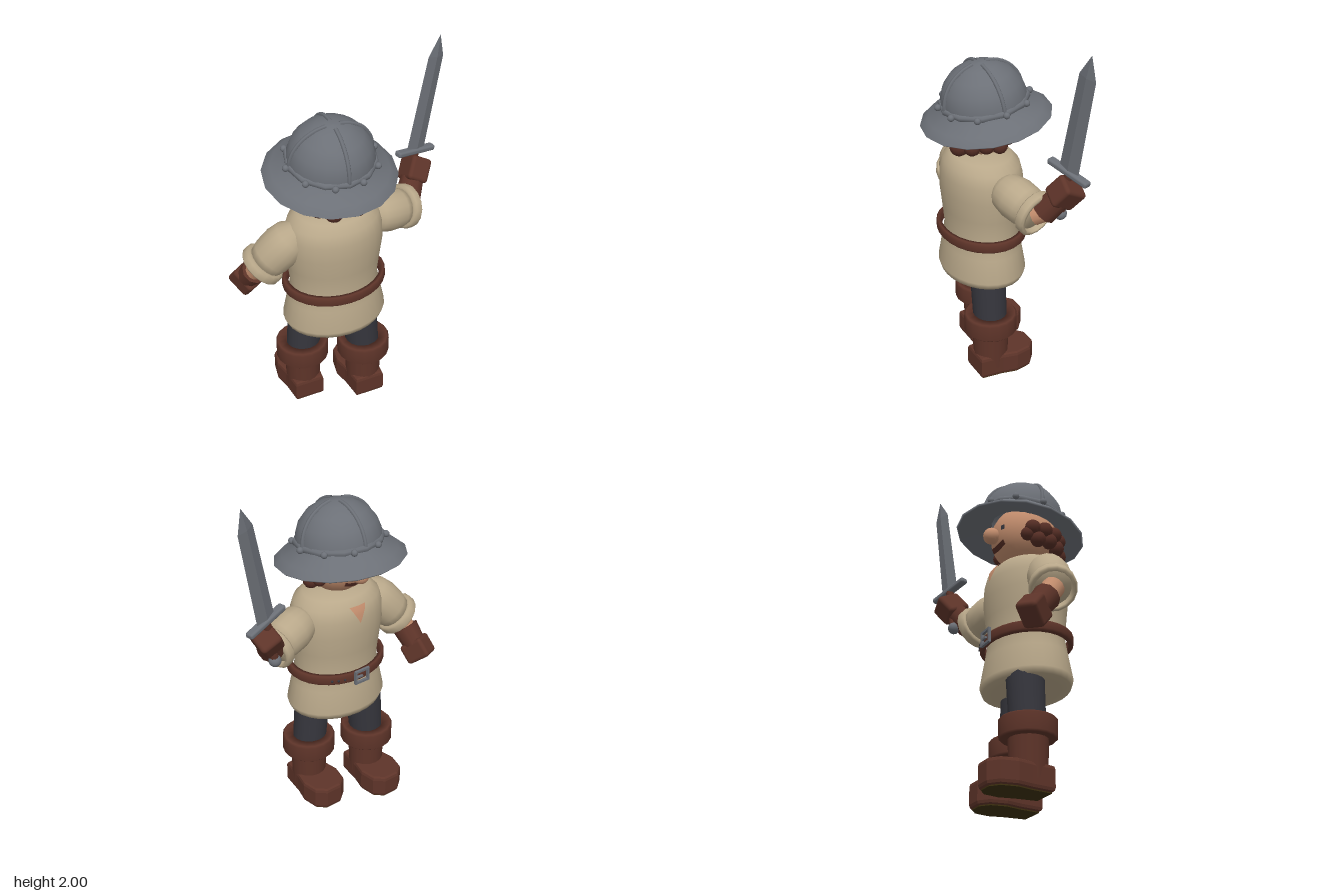
import * as THREE from 'three';
import { RoundedBoxGeometry } from 'three/addons/geometries/RoundedBoxGeometry.js';

const V = (x, y, z) => new THREE.Vector3(x, y, z);
const material = (name, color, side = THREE.FrontSide) => {
  const m = new THREE.MeshStandardMaterial({ color, side });
  m.name = name;
  return m;
};

export function createModel() {
  const cloth = material('tunic cloth', 0xb9a88a);
  const leather = material('brown leather', 0x5e3429);
  const steel = material('steel', 0x6c7077, THREE.DoubleSide);
  const trousers = material('dark trousers', 0x36363d);
  const skin = material('skin', 0xc48e6e);
  const sole = material('boot sole', 0x3d3010);
  const hairBrown = material('hair', 0x562e25);

  const model = new THREE.Group();
  model.name = 'soldier';
  const CX = -0.107; // body centre line

  const add = (name, geo, mat, parent = model) => {
    const m = new THREE.Mesh(geo, mat);
    m.name = name;
    parent.add(m);
    return m;
  };
  const group = (name, parent = model) => {
    const g = new THREE.Group();
    g.name = name;
    parent.add(g);
    return g;
  };
  const lathe = (pts, seg = 24) => new THREE.LatheGeometry(pts.map(p => new THREE.Vector2(...p)), seg);
  // closed band with a slightly bevelled outside
  const ring = (inner, outer, h, seg = 24) => lathe([
    [inner, -h / 2], [outer - 0.01, -h / 2], [outer, -h / 2 + 0.01],
    [outer, h / 2 - 0.01], [outer - 0.01, h / 2], [inner, h / 2], [inner, -h / 2]], seg);
  // stand an object at a with its y axis pointing to b
  const aim = (obj, a, b) => {
    obj.position.copy(a);
    obj.quaternion.setFromUnitVectors(V(0, 1, 0), b.clone().sub(a).normalize());
    return obj;
  };
  // thin patch facing -z, laid on a surface given by z = depth(x, y)
  const patch = (w, h, shape, depth) => {
    const geo = new THREE.PlaneGeometry(1, 1, 8, 4), p = geo.attributes.position;
    for (let i = 0; i < p.count; i++) {
      const [x, y] = shape(-p.getX(i) * w, p.getY(i) * h);
      p.setXYZ(i, x, y, depth(x, y));
    }
    geo.computeVertexNormals();
    return geo;
  };

  // tunic
  const BZ = 0.035, FLAT = 0.79;
  const profile = [[0, 0.58], [0.2, 0.58], [0.268, 0.585], [0.282, 0.62], [0.255, 0.75], [0.236, 0.85],
    [0.25, 0.97], [0.264, 1.08], [0.26, 1.17], [0.24, 1.235], [0.19, 1.275], [0.1, 1.294], [0, 1.295]];
  const tunic = add('tunic', lathe(profile, 28), cloth);
  tunic.position.set(CX, 0, BZ);
  tunic.scale.z = FLAT;
  const tunicRadius = y => {
    const i = profile.findIndex(q => q[1] > y), a = profile[i - 1], b = profile[i];
    return a[0] + (b[0] - a[0]) * (y - a[1]) / (b[1] - a[1]);
  };
  const tunicFront = (x, y) =>
    BZ - 0.006 - FLAT * Math.sqrt(Math.max(0, tunicRadius(y) ** 2 - (x - CX) ** 2));
  add('collarOpening', patch(0.1, 0.09,
    (x, y) => [CX + x * (y / 0.09 + 0.5), 1.2 + y], tunicFront), skin);

  // belt, punched holes and buckle
  const belt = add('belt', ring(0.25, 0.28, 0.055, 28), leather);
  belt.position.set(CX, 0.838, 0.037);
  belt.scale.z = 0.815;
  for (let i = 0; i < 3; i++) {
    const a = 0.35 + i * 0.13;
    const hole = add('beltHole', new THREE.SphereGeometry(0.007, 8, 6), trousers);
    hole.position.set(CX + 0.28 * Math.sin(a), 0.838, 0.037 - 0.228 * Math.cos(a));
  }
  const buckle = group('buckle');
  buckle.position.set(CX, 0.838, -0.196);
  for (const s of [-1, 1]) {
    add('buckleBar', new THREE.BoxGeometry(0.09, 0.012, 0.014), steel, buckle).position.y = s * 0.034;
    add('buckleSide', new THREE.BoxGeometry(0.012, 0.08, 0.014), steel, buckle).position.x = s * 0.04;
  }
  add('bucklePin', new THREE.BoxGeometry(0.045, 0.01, 0.012), steel, buckle).position.x = 0.018;

  // legs and boots, one a step ahead of the other
  const footprint = new THREE.Shape([[-0.07, -0.085], [0.07, -0.085], [0.082, 0.03], [0.1, 0.11],
    [0.085, 0.19], [0.04, 0.228], [-0.04, 0.228], [-0.085, 0.19], [-0.1, 0.11], [-0.082, 0.03]]
    .map(p => new THREE.Vector2(...p)));
  for (const [x, z, hip] of [[-0.268, -0.043, 0.03], [0.053, 0.067, -0.03]]) {
    const leg = group('leg');
    leg.position.set(x, 0, z);
    aim(add('trouserLeg', new THREE.CylinderGeometry(0.098, 0.09, 0.36, 18).translate(0, 0.18, 0), trousers, leg),
      V(0, 0.27, 0), V(hip, 0.63, 0));
    add('bootShaft', new THREE.CylinderGeometry(0.1, 0.094, 0.24, 16), leather, leg).position.y = 0.18;
    add('bootCuff', ring(0.09, 0.145, 0.105, 18), leather, leg).position.y = 0.322;
    const foot = add('bootFoot', new THREE.ExtrudeGeometry(footprint, {
      depth: 0.09, bevelSize: 0.014, bevelThickness: 0.02, bevelSegments: 2 }), leather, leg);
    foot.rotation.x = -Math.PI / 2;
    foot.position.y = 0.026;
    const plate = add('bootSole', new THREE.ExtrudeGeometry(footprint, { depth: 0.007, bevelEnabled: false }), sole, leg);
    plate.rotation.x = -Math.PI / 2;
  }

  // head and face
  const HEAD = V(CX, 1.455, 0.03), HR = 0.18;
  add('head', new THREE.SphereGeometry(HR, 24, 16), skin).position.copy(HEAD);
  add('nose', new THREE.SphereGeometry(0.045, 16, 12), skin).position.set(CX, 1.43, -0.167);
  const faceFront = (x, y) =>
    HEAD.z - Math.sqrt(Math.max(0, (HR + 0.006) ** 2 - (x - CX) ** 2 - (y - HEAD.y) ** 2));
  add('mouth', patch(0.13, 0.026, (x, y) => [CX + x, 1.365 + y + x * x * 3], faceFront), hairBrown);
  for (const s of [-1, 1])
    add('eye', patch(0.022, 0.026, (x, y) => [CX + s * 0.075 + x, 1.455 + y], faceFront), trousers);

  // curls round the back and sides of the head
  const hair = group('hair');
  const curl = (deg, y, r, dist) => {
    const a = deg * Math.PI / 180;
    add('curl', new THREE.SphereGeometry(r, 12, 8), hairBrown, hair)
      .position.set(CX + dist * Math.sin(a), y, HEAD.z + dist * Math.cos(a));
  };
  for (const s of [-1, 1]) {
    for (const [d, y, r] of [[21, 1.365, 0.051], [46, 1.375, 0.045], [70, 1.385, 0.043], [94, 1.375, 0.042], [113, 1.4, 0.036]])
      curl(s * d, y, r, 0.172);
    for (const d of [10, 34, 58, 82, 104]) curl(s * d, 1.435, 0.043, 0.178);
  }

  // helmet, tipped back
  const helmet = group('helmet');
  helmet.position.set(CX, 1.475, 0.003);
  helmet.rotation.x = 0.136;
  add('brim', lathe([[0.16, 0.05], [0.25, 0.03], [0.335, -0.012], [0.343, -0.004], [0.3, 0.03], [0.245, 0.062], [0.215, 0.1]], 16), steel, helmet);
  const domeArc = [[0.222, 0.08], [0.22, 0.125], [0.2, 0.185], [0.155, 0.242], [0.09, 0.281], [0.035, 0.294]];
  add('dome', lathe([...domeArc, [0, 0.296]], 24), steel, helmet);
  add('band', ring(0.2, 0.236, 0.035, 12), steel, helmet).position.y = 0.092;
  for (let i = 0; i < 4; i++) {
    const path = new THREE.CatmullRomCurve3(domeArc.map(([r, y]) => V(r, y, 0)));
    add('rib', new THREE.TubeGeometry(path, 12, 0.011, 6), steel, helmet).rotation.y = i * Math.PI / 2;
  }
  for (let i = 0; i < 10; i++) {
    const a = i * Math.PI / 5;
    add('rivet', new THREE.SphereGeometry(0.018, 10, 8), steel, helmet)
      .position.set(0.238 * Math.cos(a), 0.092, 0.238 * Math.sin(a));
  }

  // arms: sleeve, open cuff, forearm and glove
  const buildArm = (name, shoulder, cuffAt, wrist, fist) => {
    const arm = group(name);
    const L = shoulder.distanceTo(cuffAt);
    aim(add('sleeve', lathe([[0, -0.1], [0.06, -0.085], [0.1, -0.03], [0.112, 0.04], [0.108, L * 0.65], [0.092, L], [0, L]], 18), cloth, arm),
      shoulder, cuffAt);
    aim(add('sleeveCuff', ring(0.097, 0.121, 0.055, 16), cloth, arm), cuffAt, cuffAt.clone().multiplyScalar(2).sub(shoulder));
    const F = cuffAt.distanceTo(wrist) + 0.03;
    aim(add('forearm', new THREE.CylinderGeometry(0.05, 0.06, F, 14).translate(0, F / 2, 0), skin, arm), cuffAt, wrist);
    const glove = aim(group('glove', arm), wrist, fist);
    const G = wrist.distanceTo(fist);
    add('gloveCuff', new THREE.CylinderGeometry(0.062, 0.071, G * 0.55, 10), leather, glove).position.y = G * 0.27;
    add('gloveFist', new RoundedBoxGeometry(0.12, G * 0.58, 0.14, 2, 0.02), leather, glove).position.y = G * 0.71;
  };
  buildArm('loweredArm', V(-0.355, 1.14, 0.03), V(-0.48, 0.995, -0.015), V(-0.507, 0.925, -0.065), V(-0.54, 0.775, -0.185));
  buildArm('swordArm', V(0.165, 1.145, 0.01), V(0.335, 1.105, -0.035), V(0.37, 1.125, -0.065), V(0.475, 1.295, -0.17));

  // sword, built upright then turned to its blade and guard axes
  const sword = group('sword');
  const guardAt = V(0.45, 1.357, -0.15);
  const up = V(0.577, 1.995, -0.17).sub(guardAt), length = up.length();
  up.normalize();
  const across = V(0.25, -0.045, -0.07).addScaledVector(up, -V(0.25, -0.045, -0.07).dot(up)).normalize();
  sword.position.copy(guardAt);
  sword.quaternion.setFromRotationMatrix(new THREE.Matrix4().makeBasis(across, up, across.clone().cross(up)));
  const blade = (r0, r1, y0, y1) => new THREE.CylinderGeometry(r1, r0, y1 - y0, 4, 1).toNonIndexed()
    .translate(0, (y0 + y1) / 2, 0).scale(1, 1, 0.22);
  for (const [name, geo] of [['blade', blade(0.062, 0.052, 0, length - 0.115)], ['bladeTip', blade(0.052, 0.001, length - 0.115, length)]]) {
    geo.computeVertexNormals();
    add(name, geo, steel, sword);
  }
  add('guard', new RoundedBoxGeometry(0.26, 0.032, 0.045, 2, 0.012), steel, sword);
  add('grip', new THREE.CylinderGeometry(0.022, 0.022, 0.24, 10), leather, sword).position.y = -0.12;
  add('pommel', new THREE.SphereGeometry(0.033, 14, 10), steel, sword).position.y = -0.255;

  return model;
}
